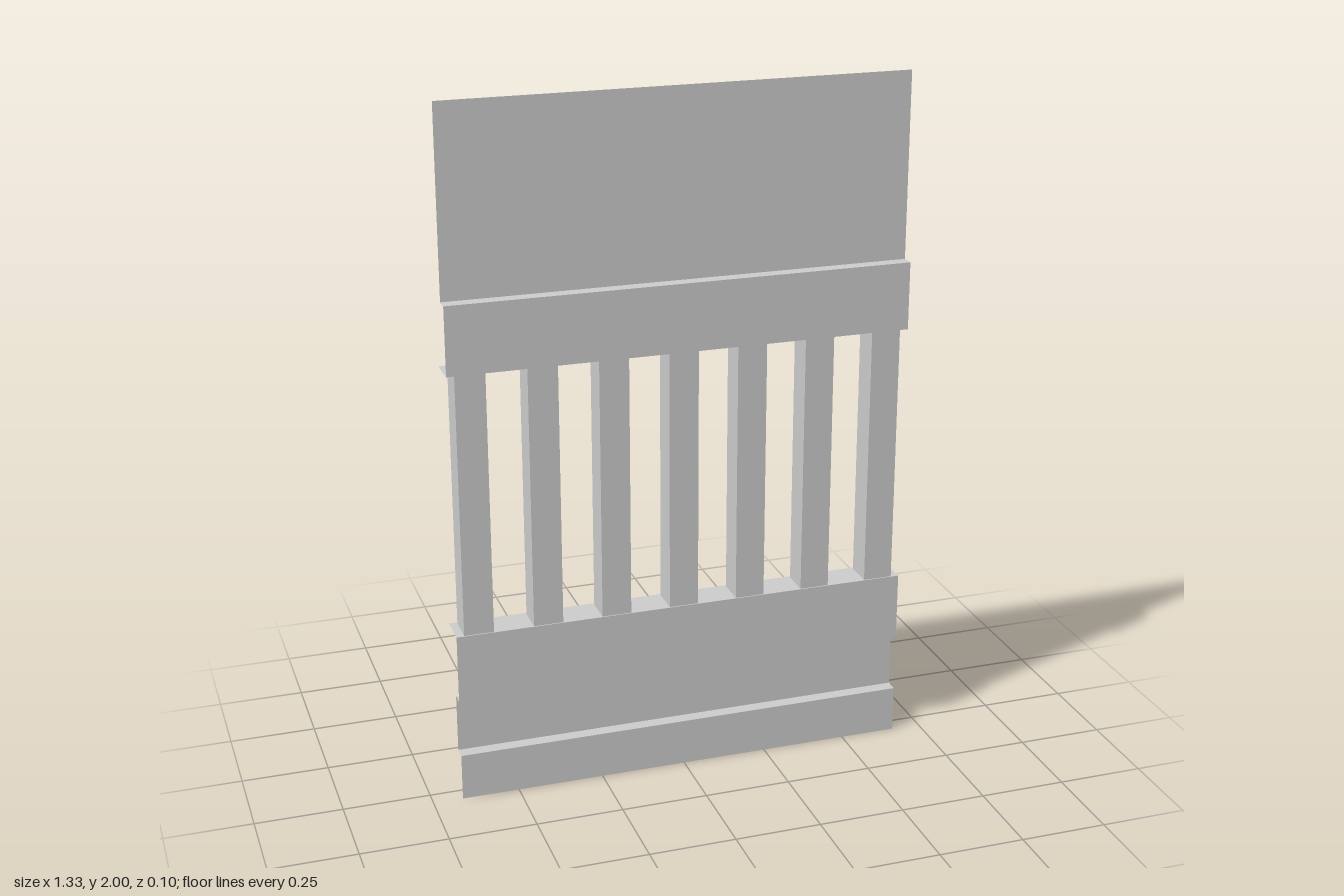
import * as THREE from 'three';

const WIDTH = 1.33;
const FRONT = 0.048, MID = 0.01, BACK = -0.048;

// Thin sheet folded along a [z, y] profile and swept across the full width
function foldedSheet(profile) {
  const h = WIDTH / 2, pos = [];
  for (let i = 0; i < profile.length - 1; i++) {
    const [z0, y0] = profile[i], [z1, y1] = profile[i + 1];
    pos.push(-h, y0, z0, h, y0, z0, h, y1, z1);
    pos.push(-h, y0, z0, h, y1, z1, -h, y1, z1);
  }
  const geo = new THREE.BufferGeometry();
  geo.setAttribute('position', new THREE.Float32BufferAttribute(pos, 3));
  geo.computeVertexNormals();
  return geo;
}

export function createModel() {
  const group = new THREE.Group();
  const material = new THREE.MeshStandardMaterial({ color: 0xcccccc, side: THREE.DoubleSide, flatShading: true });
  const add = (name, geo) => {
    const mesh = new THREE.Mesh(geo, material);
    mesh.name = name;
    group.add(mesh);
    return mesh;
  };

  // Stepped base with a sill that carries the balusters
  add('lowerPanel', foldedSheet([
    [FRONT, 0], [FRONT, 0.137], [MID, 0.137], [MID, 0.307],
    [FRONT, 0.307], [FRONT, 0.508], [BACK, 0.508],
  ]));

  // Header ledge, rail and tall upper wall
  add('upperPanel', foldedSheet([
    [BACK, 1.27], [FRONT, 1.27], [FRONT, 1.466], [MID, 1.466], [MID, 2],
  ]));

  // Seven square, open-ended balusters passing just through both ledges
  const side = 0.085, bottom = 0.502, top = 1.288;
  const tube = new THREE.CylinderGeometry(side / Math.SQRT2, side / Math.SQRT2, top - bottom, 4, 1, true)
    .rotateY(Math.PI / 4).toNonIndexed();
  tube.computeVertexNormals();
  for (let i = -3; i <= 3; i++) {
    add('baluster', tube).position.set(i * 0.2, (bottom + top) / 2, 0.002);
  }
  return group;
}
